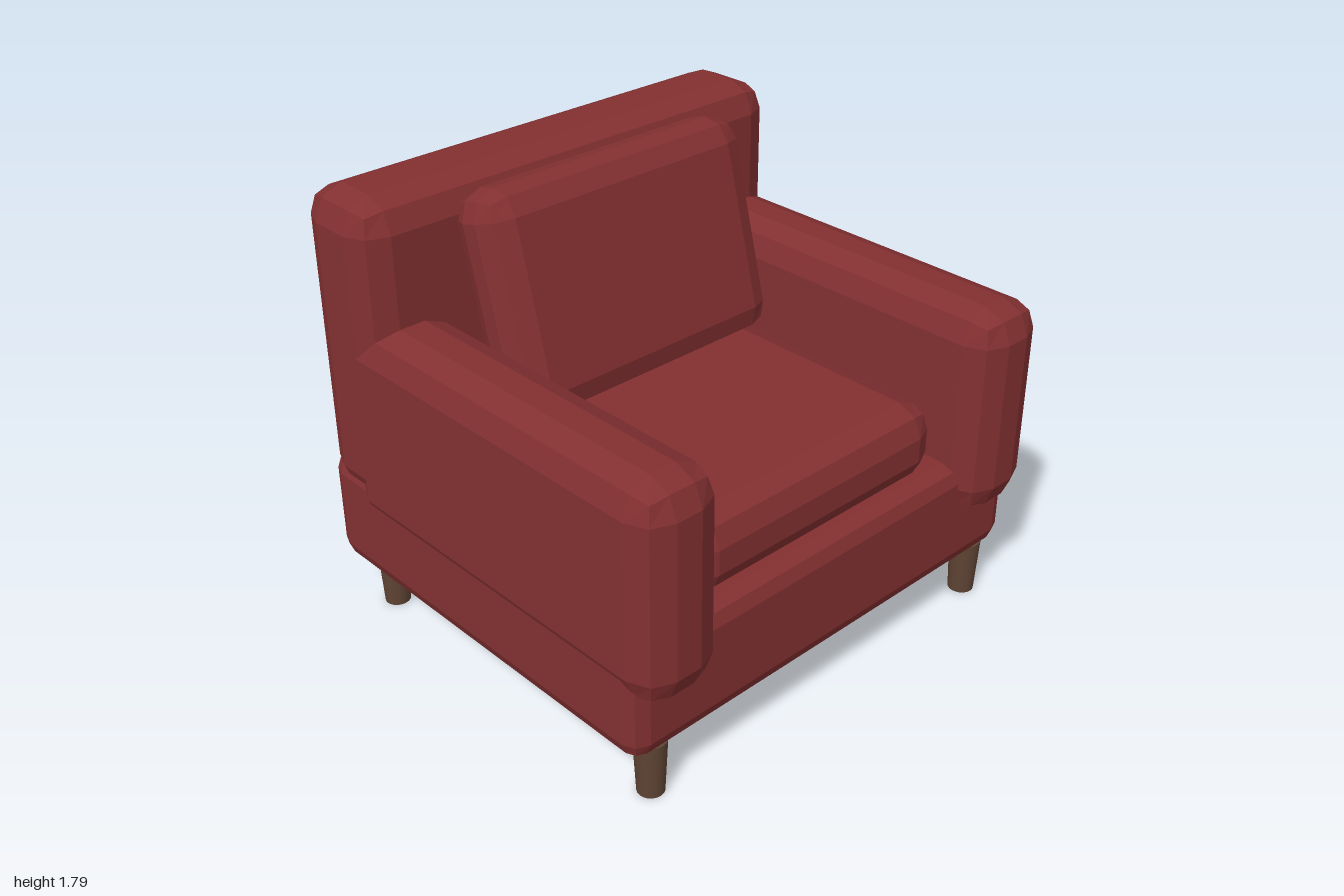
import * as THREE from 'three';

// Box whose edges are rounded by two flat facets of radius r
function bevelBox(w, h, d, r) {
  const geo = new THREE.BoxGeometry(1, 1, 1, 3, 3, 3);
  const pos = geo.attributes.position;
  const half = new THREE.Vector3(w / 2, h / 2, d / 2);
  const dir = new THREE.Vector3();
  for (let i = 0; i < pos.count; i++) {
    const p = [pos.getX(i), pos.getY(i), pos.getZ(i)];
    // outer grid lines point outwards, inner grid lines bound the flat faces
    dir.set(...p.map((v) => (Math.abs(v) > 0.4 ? Math.sign(v) : 0))).normalize();
    const q = half.toArray().map((s, k) => Math.sign(p[k]) * (s - r) + dir.getComponent(k) * r);
    pos.setXYZ(i, ...q);
  }
  geo.computeVertexNormals();
  return geo;
}

export function createModel() {
  const group = new THREE.Group();
  const fabric = new THREE.MeshStandardMaterial({ color: 0x833031, flatShading: true });
  fabric.name = 'red fabric';
  const wood = new THREE.MeshStandardMaterial({ color: 0x5f4434 });
  wood.name = 'brown wood';

  function add(name, geo, mat, x, y, z) {
    const mesh = new THREE.Mesh(geo, mat);
    mesh.name = name;
    mesh.position.set(x, y, z);
    group.add(mesh);
    return mesh;
  }
  // Upholstered block given by its limits on each axis
  function block(name, [x0, x1], [y0, y1], [z0, z1], r) {
    const geo = bevelBox(x1 - x0, y1 - y0, z1 - z0, r);
    return add(name, geo, fabric, (x0 + x1) / 2, (y0 + y1) / 2, (z0 + z1) / 2);
  }

  // Frame
  block('base', [-0.99, 0.99], [0.213, 0.675], [-0.917, 0.83], 0.07);
  block('backrest', [-1, 1], [0.55, 1.79], [-0.915, -0.51], 0.12);
  block('rightArm', [-1, -0.653], [0.46, 1.312], [-0.77, 0.917], 0.12);
  block('leftArm', [0.653, 1], [0.46, 1.312], [-0.77, 0.917], 0.12);

  // Cushions
  block('seatCushion', [-0.635, 0.63], [0.62, 0.94], [-0.56, 0.745], 0.11);
  const cushion = add('backCushion', bevelBox(1.245, 0.87, 0.28, 0.105), fabric, 0, 1.349, -0.333);
  cushion.rotation.x = -0.257;

  // Tapered legs
  const legGeo = new THREE.CylinderGeometry(0.062, 0.051, 0.23, 20);
  for (const [end, z] of [['front', 0.755], ['back', -0.75]]) {
    for (const [side, x] of [['Right', -0.855], ['Left', 0.855]]) {
      add(`${end}${side}Leg`, legGeo, wood, x, 0.115, z);
    }
  }
  return group;
}
